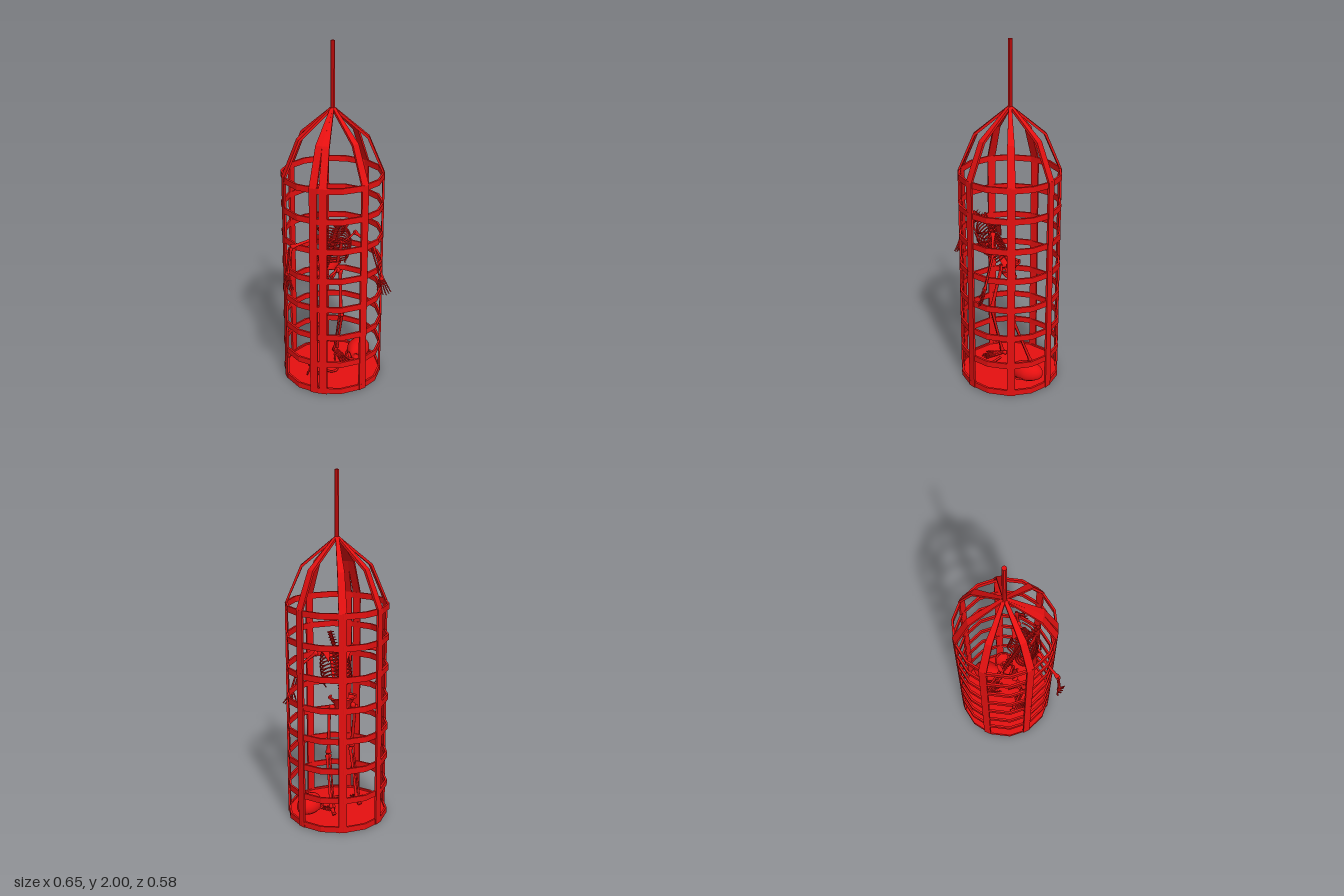
import * as THREE from 'three';

const iron = new THREE.MeshStandardMaterial({ color: 0xe61010, flatShading: true });
const boneMat = new THREE.MeshStandardMaterial({ color: 0xe61010 });
const thinBone = new THREE.MeshStandardMaterial({ color: 0xe61010, side: THREE.DoubleSide });
const V = (x, y, z) => new THREE.Vector3(x, y, z);
const UP = V(0, 1, 0);

function add(parent, name, geometry, material, pos = [0, 0, 0]) {
  const m = new THREE.Mesh(geometry, material);
  m.name = name;
  m.position.set(...pos);
  parent.add(m);
  return m;
}

function group(parent, name, pos = [0, 0, 0]) {
  const g = new THREE.Group();
  g.name = name;
  g.position.set(...pos);
  parent.add(g);
  return g;
}

// Long bone with swollen ends between two points
function bone(parent, name, a, b, r, swell = 1.5) {
  const L = a.distanceTo(b);
  const e = Math.min(r * 2.5, L * 0.25);
  const profile = [[0, 0], [r * swell, e * 0.3], [r * swell * 0.9, e * 0.7], [r, e * 1.4], [r * 0.85, L / 2],
    [r, L - e * 1.4], [r * swell * 0.9, L - e * 0.7], [r * swell, L - e * 0.3], [0, L]];
  const m = add(parent, name, new THREE.LatheGeometry(profile.map(p => new THREE.Vector2(...p)), 10), boneMat);
  m.position.copy(a);
  m.quaternion.setFromUnitVectors(UP, b.clone().sub(a).normalize());
  return m;
}

function tube(parent, name, pts, r, closed = false) {
  const curve = new THREE.CatmullRomCurve3(pts, closed);
  return add(parent, name, new THREE.TubeGeometry(curve, 20, r, 6, closed), boneMat);
}

// Pair of parallel bones, as in a forearm or shin
function pair(parent, name, a, b, r, offset) {
  bone(parent, name, a.clone().add(offset), b.clone().add(offset), r);
  bone(parent, name, a.clone().sub(offset), b.clone().sub(offset), r * 0.75);
}

// Hand or foot: five jointed digits fanning out along dir, curling toward curl
function digits(parent, name, root, dir, across, curl, length, r) {
  const g = group(parent, name);
  for (let i = -2; i <= 2; i++) {
    const len = length * (i === -2 ? 0.72 : 1 - 0.06 * Math.abs(i));
    let p = root.clone().addScaledVector(across, i * 0.25);
    [0.42, 0.26, 0.18, 0.14].forEach((part, k) => {
      const step = dir.clone().addScaledVector(across, i * (i === -2 ? 9 : 5)).addScaledVector(curl, k * 0.3).normalize();
      const q = p.clone().addScaledVector(step, len * part);
      bone(g, name + 'Digit', p, q, r * (1 - k * 0.12), 1.4);
      p = q;
    });
  }
}

function buildCage(root) {
  const cage = group(root, 'cage', [0.03, 0, -0.012]);
  const SIDES = 14, R = 0.291;

  const floor = add(cage, 'floor', new THREE.CylinderGeometry(R - 0.004, R - 0.004, 0.025, SIDES), iron, [0, 0.0165, 0]);
  floor.rotation.y = Math.PI / SIDES;

  const band = [[R, -0.017], [R, 0.017], [R - 0.012, 0.017], [R - 0.012, -0.017], [R, -0.017]];
  const ringGeo = new THREE.LatheGeometry(band.map(p => new THREE.Vector2(...p)), SIDES);
  for (let i = 0; i < 8; i++) {
    add(cage, 'hoop', ringGeo, iron, [0, 0.022 + i * 0.1765, 0]).rotation.y = Math.PI / SIDES;
  }

  // Flat bar bent inward to the apex: [radius, height, width] per station
  const stations = [[0.284, 0.005, 0.045], [0.284, 1.27, 0.045], [0.196, 1.475, 0.039], [0.006, 1.635, 0.018]];
  const barGeo = new THREE.BoxGeometry(1, 3, 1, 1, 3, 1);
  const p = barGeo.attributes.position;
  for (let i = 0; i < p.count; i++) {
    const [r, y, w] = stations[Math.round(p.getY(i) + 1.5)];
    p.setXYZ(i, r + p.getX(i) * 0.012, y + (y > 1.4 ? p.getX(i) * 0.008 : 0), p.getZ(i) * w);
  }
  barGeo.computeVertexNormals();
  for (const deg of [24, 75, 123, 134, 183, 236, 284, 335]) {
    add(cage, 'bar', barGeo, iron).rotation.y = -deg * Math.PI / 180;
  }
  add(cage, 'hangingRod', new THREE.CylinderGeometry(0.013, 0.013, 0.37, 8), iron, [0, 1.815, 0]);
}

function buildTorso(body) {
  // Vertebrae along a forward-leaning spine
  const spine = new THREE.CatmullRomCurve3([V(0, 0.69, -0.03), V(0, 0.79, 0.025), V(0, 0.89, 0.075), V(0, 0.98, 0.12), V(0, 1.045, 0.19)]);
  const disc = new THREE.CylinderGeometry(0.011, 0.012, 0.013, 10);
  const spur = new THREE.ConeGeometry(0.005, 0.022, 5).rotateX(-Math.PI / 2);
  const wing = new THREE.CylinderGeometry(0.003, 0.003, 0.042, 5).rotateZ(Math.PI / 2);
  for (let i = 0; i <= 22; i++) {
    const v = group(body, 'vertebra');
    v.position.copy(spine.getPointAt(i / 22));
    v.quaternion.setFromUnitVectors(UP, spine.getTangentAt(i / 22));
    add(v, 'vertebraBody', disc, boneMat);
    add(v, 'vertebraSpur', spur, boneMat, [0, -0.003, -0.018]);
    add(v, 'vertebraWing', wing, boneMat, [0, 0, -0.008]);
  }

  // Rib cage in the frame of the leaning back
  const chest = group(body, 'ribCage', [0, 0.8, 0.03]);
  chest.rotation.x = 0.48;
  for (let i = 0; i < 10; i++) {
    const y = 0.01 + i * 0.021;
    const w = 0.092 * Math.sqrt(1 - ((i - 3.5) / 8.5) ** 2);
    const d = i > 6 ? 0.095 - (i - 6) * 0.009 : 0.095;
    for (const s of [1, -1]) {
      const pts = [V(0, y, 0), V(s * w * 0.65, y + 0.004, -0.018), V(s * w, y - 0.012, 0.03), V(s * w * 0.75, y - 0.028, d * 0.8)];
      if (i > 1) pts.push(V(s * 0.008, y - 0.016, d));
      tube(chest, 'rib', pts, 0.0042);
    }
  }
  add(chest, 'sternum', new THREE.BoxGeometry(0.018, 0.15, 0.008), boneMat, [0, 0.11, 0.09]).rotation.x = -0.1;

  const blade = new THREE.Shape([[0, 0], [0.045, 0.075], [0.03, 0.088], [-0.018, 0.075]].map(q => new THREE.Vector2(...q)));
  for (const s of [1, -1]) {
    tube(chest, 'collarbone', [V(s * 0.008, 0.18, 0.075), V(s * 0.05, 0.195, 0.065), V(s * 0.1, 0.195, 0.03)], 0.005);
    const sc = group(chest, 'shoulderBlade', [s * 0.055, 0.105, -0.028]);
    sc.scale.x = s;
    sc.rotation.y = s * 0.4;
    add(sc, 'bladePlate', new THREE.ExtrudeGeometry(blade, { depth: 0.004, bevelEnabled: false }), thinBone);
    bone(sc, 'bladeRidge', V(-0.015, 0.07, 0), V(0.052, 0.09, 0.005), 0.004);
  }

  // Pelvis: two flared wings, sacrum and lower loops
  const pelvis = group(body, 'pelvis', [0, 0.64, -0.02]);
  const flare = [[0.045, 0.015], [0.05, 0.035], [0.068, 0.058], [0.08, 0.077]].map(q => new THREE.Vector2(...q));
  for (const s of [1, -1]) {
    const start = s > 0 ? 0.75 : Math.PI + 0.3;
    add(pelvis, 'hipWing', new THREE.LatheGeometry(flare, 12, start, Math.PI - 1.05), thinBone).scale.z = 0.72;
    const rim = Array.from({ length: 8 }, (_, i) => {
      const a = start + (Math.PI - 1.05) * i / 7;
      return V(Math.sin(a) * 0.08, 0.077, Math.cos(a) * 0.058);
    });
    tube(pelvis, 'hipCrest', rim, 0.006);
    tube(pelvis, 'pubicLoop', [V(s * 0.055, 0.025, 0.01), V(s * 0.03, 0.02, 0.035), V(s * 0.006, 0.008, 0.04),
      V(s * 0.022, -0.02, 0.02), V(s * 0.042, -0.025, -0.005), V(s * 0.056, 0, -0.005)], 0.007, true);
    add(pelvis, 'hipSocket', new THREE.SphereGeometry(0.018, 12, 8), boneMat, [s * 0.063, 0.018, 0.004]);
  }
  const sacrum = add(pelvis, 'sacrum', new THREE.ConeGeometry(0.032, 0.085, 10), boneMat, [0, 0.032, -0.035]);
  sacrum.rotation.x = Math.PI - 0.25;
  sacrum.scale.z = 0.4;
}

function buildLimbs(body) {
  // [shoulder, elbow, wrist, finger direction, across the palm]
  const arms = [
    ['right', V(-0.1, 0.955, 0.125), V(-0.285, 0.93, 0.15), V(-0.305, 0.775, 0.15), V(0, -0.95, 0.2), V(0.01, 0, 0.02)],
    ['left', V(0.1, 0.955, 0.125), V(0.195, 0.87, 0.17), V(0.228, 0.685, 0.235), V(0.1, -0.9, 0.3), V(0.024, 0, 0.006)],
  ];
  for (const [side, sh, el, wr, dir, across] of arms) {
    bone(body, side + 'UpperArm', sh, el, 0.009, 1.7);
    pair(body, side + 'Forearm', el, wr, 0.0065, across.clone().multiplyScalar(0.3));
    add(body, side + 'Wrist', new THREE.SphereGeometry(0.013, 10, 8), boneMat, wr.toArray());
    digits(body, side + 'Hand', wr, dir, across, V(0.1, 0, 0.5), 0.1, 0.0042);
  }
  // [hip, knee, ankle, toe direction]
  const legs = [
    ['right', V(-0.08, 0.66, -0.015), V(-0.084, 0.37, 0.055), V(-0.098, 0.065, -0.02), V(-0.3, -0.1, 1)],
    ['left', V(0.08, 0.66, -0.015), V(0.083, 0.37, -0.005), V(0.097, 0.075, -0.115), V(0.05, -0.2, 1)],
  ];
  for (const [side, hip, knee, ankle, dir] of legs) {
    bone(body, side + 'Thigh', hip, knee, 0.0105, 1.7);
    add(body, side + 'Kneecap', new THREE.SphereGeometry(0.011, 10, 8), boneMat, [knee.x, knee.y, knee.z + 0.015]);
    pair(body, side + 'Shin', knee, ankle, 0.0085, V(0.009, 0, 0));
    bone(body, side + 'Heel', ankle.clone().add(V(0, -0.005, 0.01)), ankle.clone().add(V(0, -0.025, -0.028)), 0.011, 1.3);
    digits(body, side + 'Foot', ankle.clone().add(V(0, -0.015, 0.01)), dir, V(0.024, 0, 0), V(0, -0.12, 0), 0.115, 0.005);
  }
}

function buildSkull(root) {
  const skull = group(root, 'skull', [0.21, 0.085, -0.035]);
  skull.rotation.set(0, -0.8, 0);
  // Cranium narrowed toward the face, with eye and nose hollows pressed in
  const geo = new THREE.SphereGeometry(1, 40, 28);
  const p = geo.attributes.position;
  const hollows = [[0.42, -0.05, 0.9, 0.3], [-0.42, -0.05, 0.9, 0.3], [0, -0.42, 0.9, 0.2]];
  for (let i = 0; i < p.count; i++) {
    const v = V(p.getX(i), p.getY(i), p.getZ(i));
    let k = 1;
    for (const [x, y, z, r] of hollows) {
      const d = v.distanceTo(V(x, y, z)) / r;
      if (d < 1) k -= 0.32 * (1 - d * d);
    }
    const narrow = 1 - 0.22 * Math.max(0, v.z);
    const flat = v.y < -0.4 ? 0.8 : 1;
    p.setXYZ(i, v.x * k * narrow * 0.066, v.y * k * flat * 0.063, v.z * k * 0.098);
  }
  geo.computeVertexNormals();
  add(skull, 'cranium', geo, boneMat);
  for (const s of [1, -1]) {
    tube(skull, 'cheekbone', [V(s * 0.022, -0.025, 0.088), V(s * 0.05, -0.025, 0.07), V(s * 0.062, -0.022, 0.03), V(s * 0.06, -0.018, 0)], 0.006);
  }
  const upperJaw = add(skull, 'upperJaw', new THREE.CylinderGeometry(0.03, 0.025, 0.025, 14), boneMat, [0, -0.034, 0.072]);
  upperJaw.scale.z = 1.1;
  for (let i = -4; i <= 4; i++) {
    const a = i * 0.3;
    add(skull, 'tooth', new THREE.BoxGeometry(0.006, 0.012, 0.005), boneMat,
      [Math.sin(a) * 0.025, -0.045, 0.072 + Math.cos(a) * 0.027]).rotation.y = a;
  }
  // Loose lower jaw lying on the floor
  const jaw = group(root, 'lowerJaw', [0, 0.045, 0.05]);
  tube(jaw, 'jawArch', [V(-0.04, 0.012, -0.035), V(-0.036, 0, 0), V(-0.018, 0, 0.032), V(0.018, 0, 0.032), V(0.036, 0, 0), V(0.04, 0.012, -0.035)], 0.007);
}

export function createModel() {
  const root = new THREE.Group();
  root.name = 'hangingCageWithSkeleton';
  buildCage(root);
  const body = group(root, 'skeleton');
  buildTorso(body);
  buildLimbs(body);
  buildSkull(root);
  return root;
}
